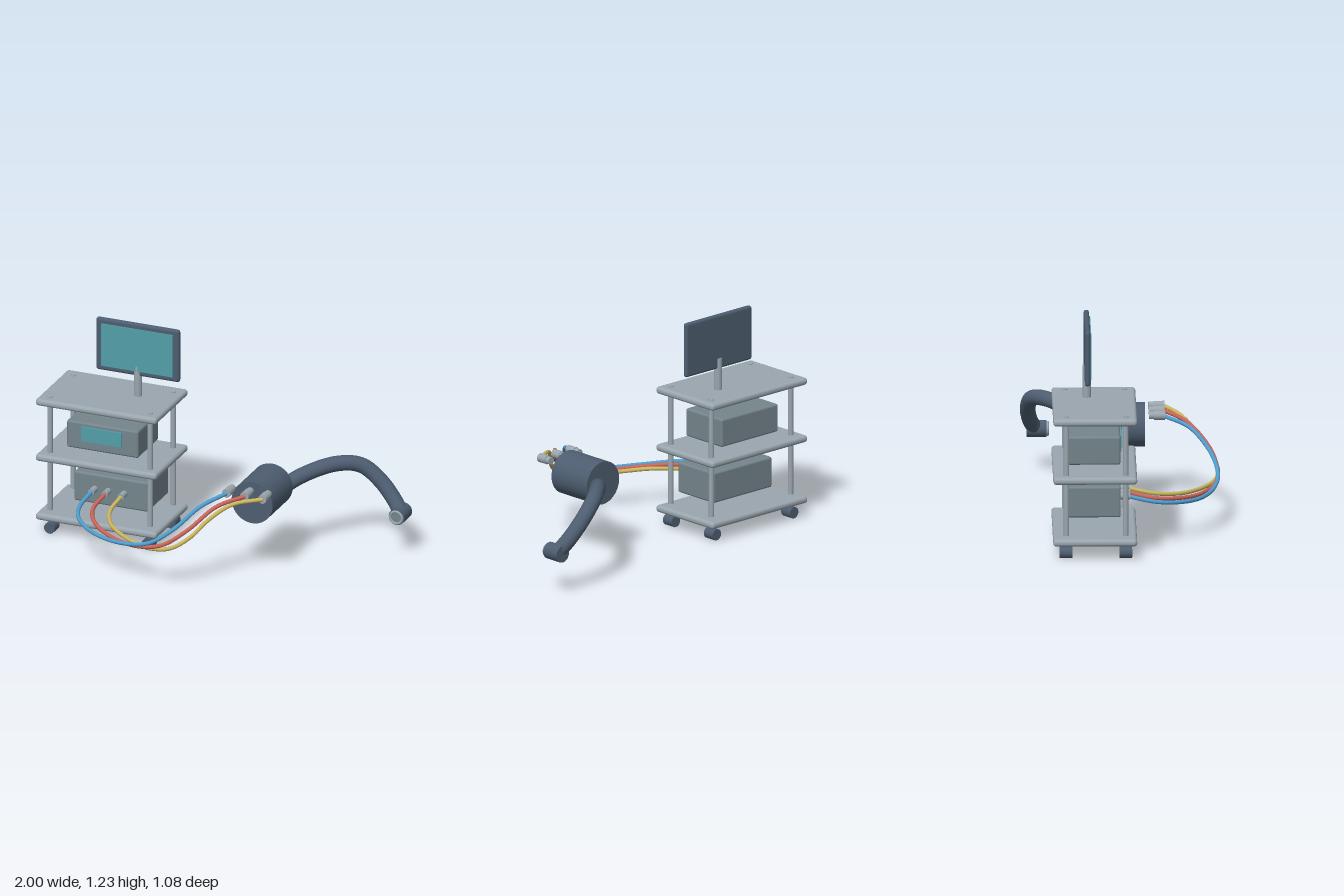
import * as THREE from 'three';
import { RoundedBoxGeometry } from 'three/addons/geometries/RoundedBoxGeometry.js';

const material = (name, color) => {
  const m = new THREE.MeshStandardMaterial({ color });
  m.name = name;
  return m;
};

export function createModel() {
  const model = new THREE.Group();
  model.name = 'cartWithScope';

  const metal = material('lightMetal', 0x9aa6ae);
  const casing = material('greyCasing', 0x74858b);
  const dark = material('darkSlate', 0x4d5d70);
  const teal = material('tealScreen', 0x539fa9);
  const blue = material('blueCable', 0x4f9dcd);
  const red = material('redCable', 0xc9655b);
  const yellow = material('yellowCable', 0xc9b45f);

  const add = (name, geometry, mat, x = 0, y = 0, z = 0) => {
    const mesh = new THREE.Mesh(geometry, mat);
    mesh.name = name;
    mesh.position.set(x, y, z);
    model.add(mesh);
    return mesh;
  };
  const roundBox = (name, mat, w, h, d, r, x, y, z) =>
    add(name, new RoundedBoxGeometry(w, h, d, 4, r), mat, x, y, z);
  // Cylinder lying along z between z0 and z1
  const cylZ = (name, mat, r, z0, z1, x, y, sides = 32) =>
    add(name, new THREE.CylinderGeometry(r, r, z1 - z0, sides).rotateX(Math.PI / 2), mat, x, y, (z0 + z1) / 2);
  const tube = (name, mat, r, points, sides = 12) => {
    const curve = new THREE.CatmullRomCurve3(points.map(p => new THREE.Vector3(...p)));
    return add(name, new THREE.TubeGeometry(curve, 80, r, sides), mat);
  };

  // Cart: three shelves, four posts, four casters
  for (const y of [0.1, 0.45, 0.78]) {
    roundBox('shelf', metal, 0.72, 0.04, 0.46, 0.018, -0.64, y, -0.16);
  }
  for (const x of [-0.935, -0.34]) {
    for (const z of [0.008, -0.317]) {
      add('post', new THREE.CylinderGeometry(0.015, 0.015, 0.675, 16), metal, x, 0.4675, z);
    }
  }
  for (const x of [-0.925, -0.345]) {
    for (const z of [0.008, -0.32]) {
      cylZ('caster', dark, 0.032, z - 0.035, z + 0.035, x, 0.032, 24);
    }
  }

  // Equipment boxes and display panel
  roundBox('upperUnit', casing, 0.425, 0.16, 0.29, 0.012, -0.637, 0.585, -0.165);
  add('displayPanel', new THREE.BoxGeometry(0.24, 0.085, 0.009), teal, -0.64, 0.601, -0.0165);
  roundBox('lowerUnit', casing, 0.44, 0.175, 0.29, 0.012, -0.585, 0.283, -0.163);

  // Monitor on its stand
  add('monitorStand', new THREE.CylinderGeometry(0.023, 0.023, 0.185, 24), metal, -0.5, 0.8875, -0.199);
  roundBox('monitor', dark, 0.495, 0.31, 0.03, 0.0145, -0.4975, 1.075, -0.198);
  add('monitorScreen', new THREE.BoxGeometry(0.425, 0.25, 0.008), teal, -0.4975, 1.075, -0.181);

  // Scope body, curved arm and tip
  cylZ('scopeBody', dark, 0.122, -0.15, 0.132, 0.318, 0.427, 48);
  tube('scopeArm', dark, 0.043, [
    [0.33, 0.38, -0.12], [0.45, 0.46, -0.25], [0.6, 0.498, -0.4],
    [0.71, 0.475, -0.48], [0.81, 0.395, -0.502], [0.9, 0.3, -0.488], [0.952, 0.24, -0.46],
  ], 24);
  cylZ('scopeTip', dark, 0.047, -0.505, -0.398, 0.953, 0.238);
  cylZ('lens', casing, 0.034, -0.4, -0.392, 0.953, 0.238);
  add('lensRing', new THREE.TorusGeometry(0.035, 0.007, 12, 32), metal, 0.953, 0.238, -0.391);

  // Cables with a socket on the lower unit and a plug at the scope
  const cables = [
    ['blueCable', blue, [
      [-0.68, 0.285, 0.02], [-0.69, 0.255, 0.17], [-0.64, 0.238, 0.3], [-0.5, 0.223, 0.42],
      [-0.3, 0.229, 0.5], [-0.13, 0.267, 0.525], [0, 0.355, 0.485], [0.11, 0.463, 0.375], [0.21, 0.505, 0.23]]],
    ['redCable', red, [
      [-0.6, 0.285, 0.02], [-0.61, 0.255, 0.17], [-0.55, 0.238, 0.3], [-0.41, 0.223, 0.42],
      [-0.2, 0.23, 0.51], [-0.05, 0.269, 0.525], [0.08, 0.36, 0.48], [0.2, 0.472, 0.36], [0.317, 0.505, 0.235]]],
    ['yellowCable', yellow, [
      [-0.505, 0.285, 0.02], [-0.51, 0.255, 0.17], [-0.45, 0.237, 0.3], [-0.3, 0.223, 0.42],
      [-0.13, 0.23, 0.51], [0, 0.258, 0.526], [0.1, 0.325, 0.49], [0.18, 0.415, 0.415],
      [0.28, 0.486, 0.33], [0.423, 0.505, 0.235]]],
  ];
  for (const [name, mat, points] of cables) {
    tube(name, mat, 0.0115, points);
    const plugX = points[points.length - 1][0];
    cylZ('socket', metal, 0.018, -0.03, 0.036, points[0][0], 0.285, 20);
    cylZ('plugNeck', metal, 0.021, 0.152, 0.182, plugX, 0.506, 24);
    cylZ('plug', metal, 0.025, 0.18, 0.24, plugX, 0.506, 24);
  }

  return model;
}
